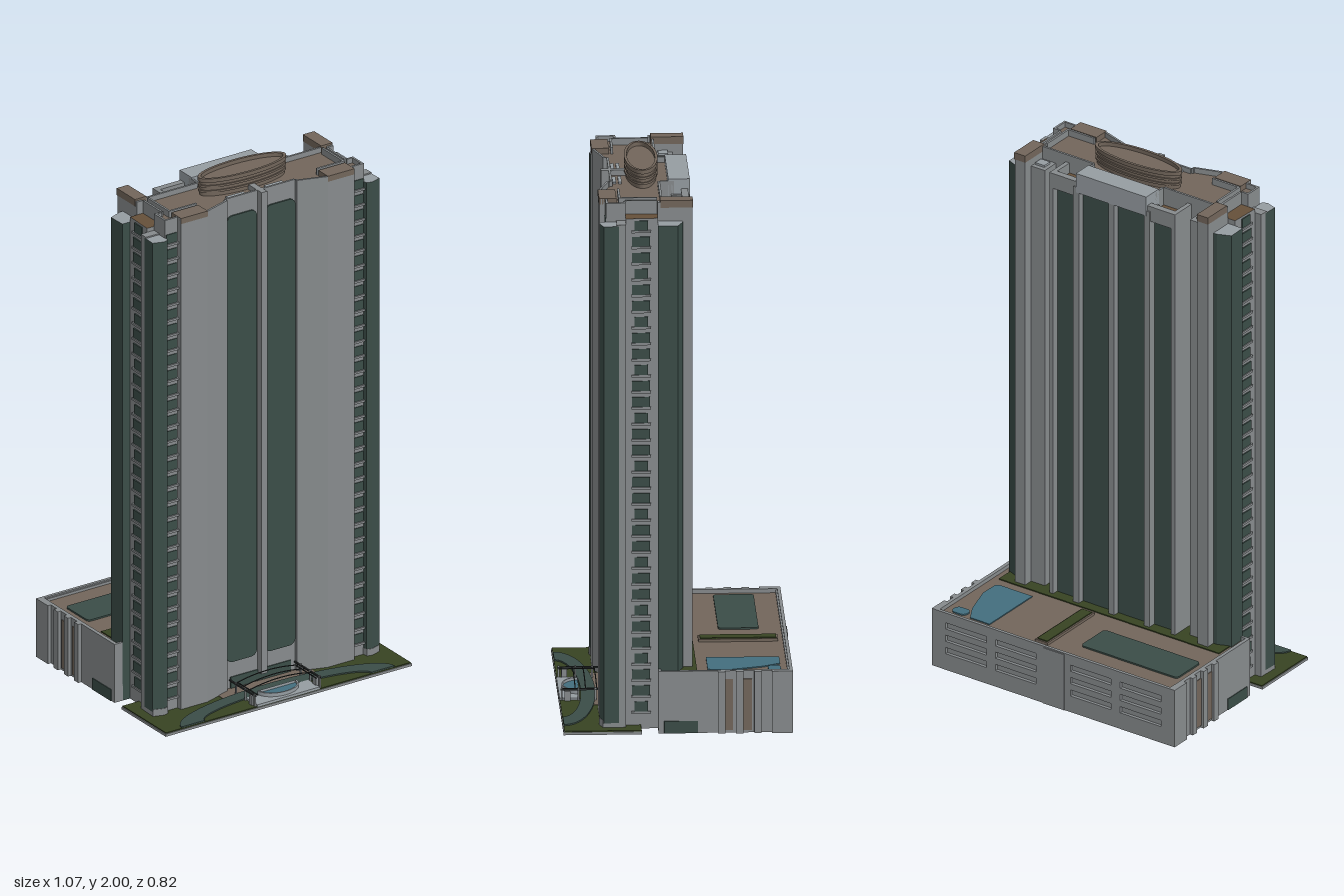
import * as THREE from 'three';
import { mergeGeometries } from 'three/addons/utils/BufferGeometryUtils.js';

const mat = (name, color) => {
  const m = new THREE.MeshStandardMaterial({ color });
  m.name = name;
  return m;
};

export function createModel() {
  const grey = mat('concrete', 0x878b8d), brown = mat('roof tan', 0x72665b);
  const glass = mat('glass', 0x3b4d48), green = mat('lawn', 0x374322);
  const blue = mat('water', 0x436e7e), umber = mat('bay roof', 0x66503a);
  const pale = mat('paving', 0x969da2), dark = mat('dark metal', 0x2a2e2e);

  const root = new THREE.Group();
  root.name = 'towerBlock';
  const add = (name, geo, m) => {
    const mesh = new THREE.Mesh(geo, m);
    mesh.name = name;
    root.add(mesh);
    return mesh;
  };
  // box given by its limits
  const boxGeo = (x0, x1, y0, y1, z0, z1) =>
    new THREE.BoxGeometry(x1 - x0, y1 - y0, z1 - z0)
      .translate((x0 + x1) / 2, (y0 + y1) / 2, (z0 + z1) / 2);
  const box = (name, m, ...b) => add(name, boxGeo(...b), m);
  const pair = (name, m, x0, x1, ...b) => {
    box(name + 'Left', m, x0, x1, ...b);
    box(name + 'Right', m, -x1, -x0, ...b);
  };
  // plan outline (x, z) raised from y0 to y1
  const planGeo = (shape, y0, y1) =>
    new THREE.ExtrudeGeometry(shape, { depth: y1 - y0, bevelEnabled: false, curveSegments: 32 })
      .rotateX(Math.PI / 2).translate(0, y1, 0);
  const poly = pts => new THREE.Shape(pts.map(p => new THREE.Vector2(...p)));
  const ellipse = (a, b, cx, cz) => new THREE.Shape().absellipse(cx, cz, a, b, 0, Math.PI * 2);
  const rounded = (x0, x1, y0, y1, r) => {
    const s = new THREE.Shape();
    s.absarc(x1 - r, y1 - r, r, 0, Math.PI / 2);
    s.absarc(x0 + r, y1 - r, r, Math.PI / 2, Math.PI);
    s.absarc(x0 + r, y0 + r, r, Math.PI, Math.PI * 1.5);
    s.absarc(x1 - r, y0 + r, r, Math.PI * 1.5, Math.PI * 2);
    return s;
  };

  // main tower shaft with parapet
  const half = [[0.155, 0], [0.155, 0.05], [0.38, 0.05], [0.38, -0.055], [0.425, -0.055],
    [0.425, 0.07], [0.4, 0.07], [0.4, 0.185], [0.43, 0.185], [0.43, 0.255], [0.375, 0.255],
    [0.375, 0.275], [0.26, 0.275], [0.15, 0.24], [0.15, 0.228]];
  const outline = [...half, ...half.map(([x, z]) => [-x, z]).reverse()];
  add('towerShaft', planGeo(poly(outline), 0, 1.93), [brown, grey]);
  const rim = outline.map(([x0, z0], i) => {
    const [x1, z1] = outline[(i + 1) % outline.length];
    const dx = x1 - x0, dz = z1 - z0, len = Math.hypot(dx, dz);
    return new THREE.BoxGeometry(len, 0.02, 0.008).translate(0, 0, 0.004)
      .rotateY(-Math.atan2(dz, dx)).translate((x0 + x1) / 2, 1.94, (z0 + z1) / 2);
  });
  add('parapet', mergeGeometries(rim), grey);
  pair('rearWingCap', brown, 0.378, 0.427, 1.93, 1.957, -0.057, 0.06);
  pair('frontBlockRoof', brown, 0.26, 0.375, 1.93, 1.952, 0.215, 0.277);

  // stepped inner parapet around the roof terrace
  pair('terraceRim', grey, 0.372, 0.38, 1.93, 1.955, 0.07, 0.2);
  pair('terraceFrontRim', grey, 0.26, 0.38, 1.93, 1.955, 0.2, 0.208);
  pair('terraceRearRim', grey, 0.155, 0.38, 1.93, 1.95, 0.05, 0.058);
  for (const z of [0.185, 0.205]) pair('roofVent', pale, 0.045, 0.12, 1.93, 1.937, z, z + 0.012);

  // oval crown
  const crownRing = ellipse(0.187, 0.06, 0, 0.112);
  crownRing.holes.push(ellipse(0.174, 0.05, 0, 0.112));
  add('crownDrum', planGeo(ellipse(0.18, 0.055, 0, 0.112), 1.93, 1.985), brown);
  add('crownRing', planGeo(crownRing, 1.985, 2), brown);
  for (const y of [1.945, 1.965]) {
    add('crownLouver', planGeo(ellipse(0.186, 0.06, 0, 0.112), y, y + 0.008), brown);
  }

  // front curtain glass and centre fin
  for (const s of [1, -1]) {
    const shape = rounded(s > 0 ? 0.018 : -0.148, s > 0 ? 0.148 : -0.018, 0.12, 1.88, 0.025);
    add('frontGlass', new THREE.ExtrudeGeometry(shape, { depth: 0.006, bevelEnabled: false })
      .translate(0, 0, 0.228), glass);
  }
  box('frontFin', grey, -0.012, 0.012, 0.05, 1.95, 0.165, 0.255);

  // side bays, rear bays and corner glass towers
  for (const s of [1, -1]) {
    const prism = (name, pts, y0, y1, m) =>
      add(name, planGeo(poly(pts.map(([x, z]) => [s * x, z])), y0, y1), m);
    prism('sideBay', [[0.38, 0.07], [0.455, 0.07], [0.46, 0.185], [0.38, 0.185]], 0, 1.9, [umber, grey]);
    prism('cornerPier', [[0.42, 0.185], [0.487, 0.185], [0.488, 0.218], [0.42, 0.218]], 0, 1.885, grey);
    prism('frontCornerGlass', [[0.42, 0.21], [0.488, 0.21], [0.49, 0.265], [0.45, 0.278], [0.43, 0.272]],
      0.03, 1.88, [pale, glass]);
    prism('cornerPlinth', [[0.42, 0.21], [0.488, 0.21], [0.49, 0.267], [0.45, 0.28], [0.43, 0.275]], 0, 0.04, grey);
    prism('rearCornerGlass', [[0.42, -0.02], [0.44, -0.02], [0.49, 0], [0.488, 0.07], [0.42, 0.07]],
      0, 1.88, [pale, glass]);
    prism('rearBay', [[0.15, -0.025], [0.27, -0.025], [0.27, 0.055], [0.15, 0.055]], 0, 1.88, [umber, glass]);
  }
  pair('rearBayLintel', grey, 0.155, 0.275, 1.86, 1.92, -0.05, -0.025);
  pair('rearBayFin', grey, 0.26, 0.277, 0, 1.92, -0.05, 0.055);
  pair('rearRecessRoof', grey, 0.32, 0.385, 0, 1.9, -0.018, 0.055);
  pair('rearVent', pale, 0.335, 0.375, 1.9, 1.908, 0, 0.035);

  // rear centre: glass between fins under a deep head slab
  box('rearGlass', glass, -0.15, 0.15, 0, 1.89, -0.03, 0.005);
  box('rearHeadSlab', pale, -0.155, 0.155, 1.88, 1.957, -0.057, 0.02);
  box('rearFinCentre', grey, -0.012, 0.012, 0, 1.89, -0.055, -0.02);
  pair('rearFin', grey, 0.143, 0.168, 0, 1.9, -0.055, 0.01);

  // window columns, one opening per floor
  const panes = [], sills = [];
  for (let i = 0; i < 31; i++) {
    const y = 0.065 + i * 0.0597;
    for (const s of [1, -1]) {
      const x = s * 0.403;
      panes.push(boxGeo(x - 0.022, x + 0.022, y, y + 0.036, 0.254, 0.258));
      sills.push(boxGeo(x - 0.027, x + 0.027, y - 0.008, y, 0.25, 0.264));
      const w = i % 3 ? 0.032 : 0.024;
      panes.push(boxGeo(s * 0.458 - 0.004, s * 0.458 + 0.004, y, y + 0.036, 0.13 - w, 0.13 + w));
      sills.push(boxGeo(s * 0.458 - 0.008, s * 0.458 + 0.008, y - 0.008, y, 0.095, 0.165));
    }
  }
  add('windowPanes', mergeGeometries(panes), glass);
  add('windowSills', mergeGeometries(sills), grey);

  // podium: hollow walls and deck
  box('podiumDeck', brown, -0.52, 0.52, 0.2, 0.215, -0.4, 0.065);
  pair('podiumSideWall', grey, 0.508, 0.522, 0, 0.23, -0.34, 0.07);
  pair('podiumCorner', grey, 0.508, 0.535, 0, 0.23, -0.41, -0.335);
  pair('podiumFrontWall', grey, 0.485, 0.522, 0, 0.23, 0.06, 0.07);
  for (const z of [-0.285, -0.22, -0.155]) pair('podiumRib', grey, 0.52, 0.535, 0, 0.23, z - 0.013, z + 0.013);
  for (const z of [-0.247, -0.18]) pair('podiumSidePanel', brown, 0.52, 0.525, 0.01, 0.2, z - 0.016, z + 0.016);
  pair('podiumSideDoor', glass, 0.52, 0.525, 0, 0.045, -0.07, 0.05);

  // rear podium wall with long slots
  const wall = poly([[-0.53, 0], [0.53, 0], [0.53, 0.23], [-0.53, 0.23]]);
  for (const cx of [-0.385, -0.165, 0.165, 0.385]) {
    for (const y of [0.065, 0.115, 0.165]) {
      wall.holes.push(poly([[cx - 0.09, y], [cx + 0.09, y], [cx + 0.09, y + 0.025], [cx - 0.09, y + 0.025]]));
    }
  }
  add('podiumRearWall', new THREE.ExtrudeGeometry(wall, { depth: 0.012, bevelEnabled: false })
    .translate(0, 0, -0.41), grey);
  box('podiumRearLining', grey, -0.53, 0.53, 0, 0.225, -0.398, -0.392);
  box('podiumRearPier', grey, -0.05, 0.045, 0, 0.225, -0.413, -0.405);

  // deck garden, skylight and pools
  box('deckLawn', green, -0.485, 0.485, 0.214, 0.219, -0.07, 0.04);
  add('skylight', planGeo(rounded(-0.475, -0.05, -0.312, -0.167, 0.015), 0.213, 0.221), glass);
  box('planterCurb', brown, 0.05, 0.105, 0.213, 0.225, -0.375, -0.09);
  box('planterLawn', green, 0.056, 0.099, 0.22, 0.229, -0.369, -0.096);
  add('pool', planGeo(poly([[0.31, -0.37], [0.395, -0.37], [0.43, -0.31], [0.468, -0.19], [0.467, -0.12],
    [0.455, -0.108], [0.31, -0.108]]), 0.213, 0.219), blue);
  add('smallPool', planGeo(rounded(0.42, 0.483, -0.37, -0.325, 0.02), 0.213, 0.22), blue);

  // forecourt
  box('forecourtSlab', grey, -0.532, 0.532, 0, 0.01, 0.13, 0.41);
  box('forecourtLawn', green, -0.529, 0.529, 0.009, 0.014, 0.131, 0.407);
  box('entranceApron', brown, -0.2, 0.2, 0.01, 0.016, 0.22, 0.3);
  const drive = new THREE.Shape();
  drive.absellipse(0, 0.406, 0.46, 0.13, Math.PI, Math.PI * 2, false);
  drive.absellipse(0, 0.406, 0.36, 0.078, Math.PI * 2, Math.PI, true);
  add('driveway', planGeo(drive, 0.012, 0.019), glass);
  box('entrancePaving', pale, -0.135, 0.135, 0.012, 0.021, 0.335, 0.408);
  const pond = (a, b) => {
    const s = new THREE.Shape();
    s.absellipse(0, 0.335, a, b, 0, Math.PI, false);
    return s;
  };
  add('pond', planGeo(pond(0.078, 0.055), 0.018, 0.025), blue);
  const basin = pond(0.084, 0.06);
  basin.holes.push(pond(0.078, 0.055));
  add('pondCurb', planGeo(basin, 0.018, 0.035), pale);

  // arched entrance canopy frame
  pair('canopyBeam', dark, 0.137, 0.143, 0.052, 0.058, 0.24, 0.405);
  pair('canopySideRail', dark, 0.125, 0.128, 0.052, 0.056, 0.27, 0.4);
  for (const z of [0.275, 0.315, 0.352]) {
    const arch = new THREE.QuadraticBezierCurve3(new THREE.Vector3(-0.14, 0.055, z),
      new THREE.Vector3(0, 0.088, z), new THREE.Vector3(0.14, 0.055, z));
    add('canopyArch', new THREE.TubeGeometry(arch, 20, 0.002, 6), dark);
  }
  for (const z of [0.28, 0.34, 0.4]) pair('canopyPost', grey, 0.137, 0.143, 0.01, 0.062, z - 0.003, z + 0.003);
  pair('gatePier', grey, 0.13, 0.146, 0.01, 0.05, 0.37, 0.39);
  box('entranceDoors', glass, -0.13, 0.13, 0.015, 0.06, 0.227, 0.232);

  return root;
}
